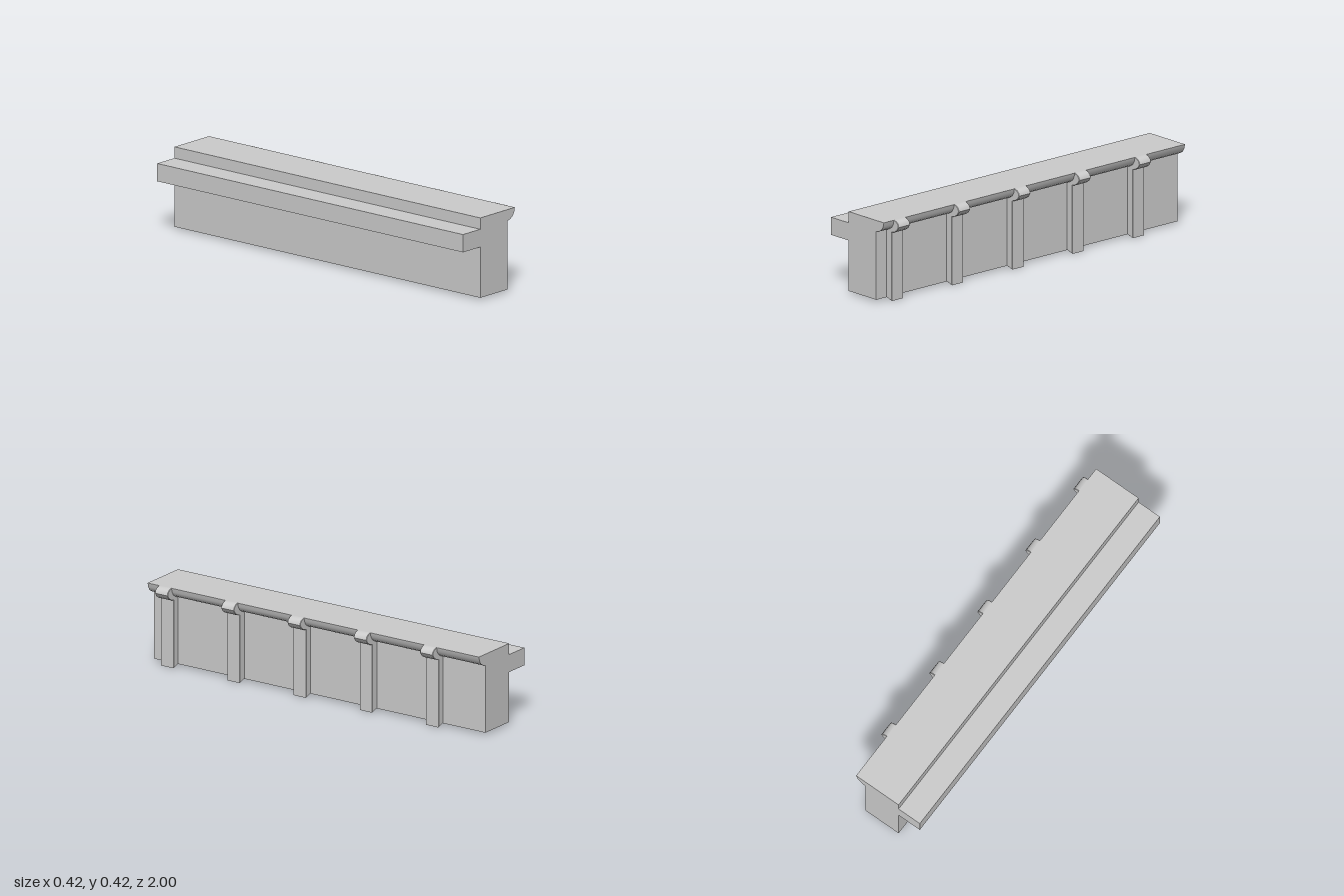
import * as THREE from 'three';
import { toCreasedNormals } from 'three/addons/utils/BufferGeometryUtils.js';

const material = new THREE.MeshStandardMaterial({ color: 0xcccccc });

// Extrude an x/y profile along z, centred on z = 0
function profileMesh(name, points, length, bevel = 0) {
  const shape = new THREE.Shape(points.map(([x, y]) => new THREE.Vector2(x, y)));
  const depth = length - 2 * bevel;
  const geometry = new THREE.ExtrudeGeometry(shape, {
    depth,
    bevelEnabled: bevel > 0,
    bevelThickness: bevel,
    bevelSize: bevel,
    bevelOffset: -bevel,
    bevelSegments: 1,
  });
  geometry.translate(0, 0, -depth / 2);
  const mesh = new THREE.Mesh(toCreasedNormals(geometry, 0.65), material);
  mesh.name = name;
  return mesh;
}

export function createModel() {
  const group = new THREE.Group();
  group.name = 'corniceBeam';

  // Long beam: rear ledge, main block and rounded overhanging lip
  group.add(profileMesh('beam', [
    [-0.212, 0.272], [-0.082, 0.272], [-0.082, 0.012], [0.122, 0.012],
    [0.122, 0.363], [0.144, 0.369], [0.162, 0.381], [0.173, 0.399], [0.178, 0.421],
    [-0.082, 0.421], [-0.082, 0.363], [-0.212, 0.363],
  ], 2));

  // Ribs with a slanted foot and a rounded cap wrapping the lip
  const ribProfile = [
    [0.11, 0.016], [0.16, 0], [0.16, 0.353],
    [0.182, 0.359], [0.201, 0.372], [0.212, 0.39],
    [0.207, 0.405], [0.196, 0.415], [0.178, 0.421],
    [0.15, 0.418], [0.11, 0.36],
  ];
  for (let i = 0; i < 5; i++) {
    const rib = profileMesh('rib' + (i + 1), ribProfile, 0.077, 0.002);
    rib.position.z = 0.894 - i * 0.4;
    group.add(rib);
  }
  return group;
}
